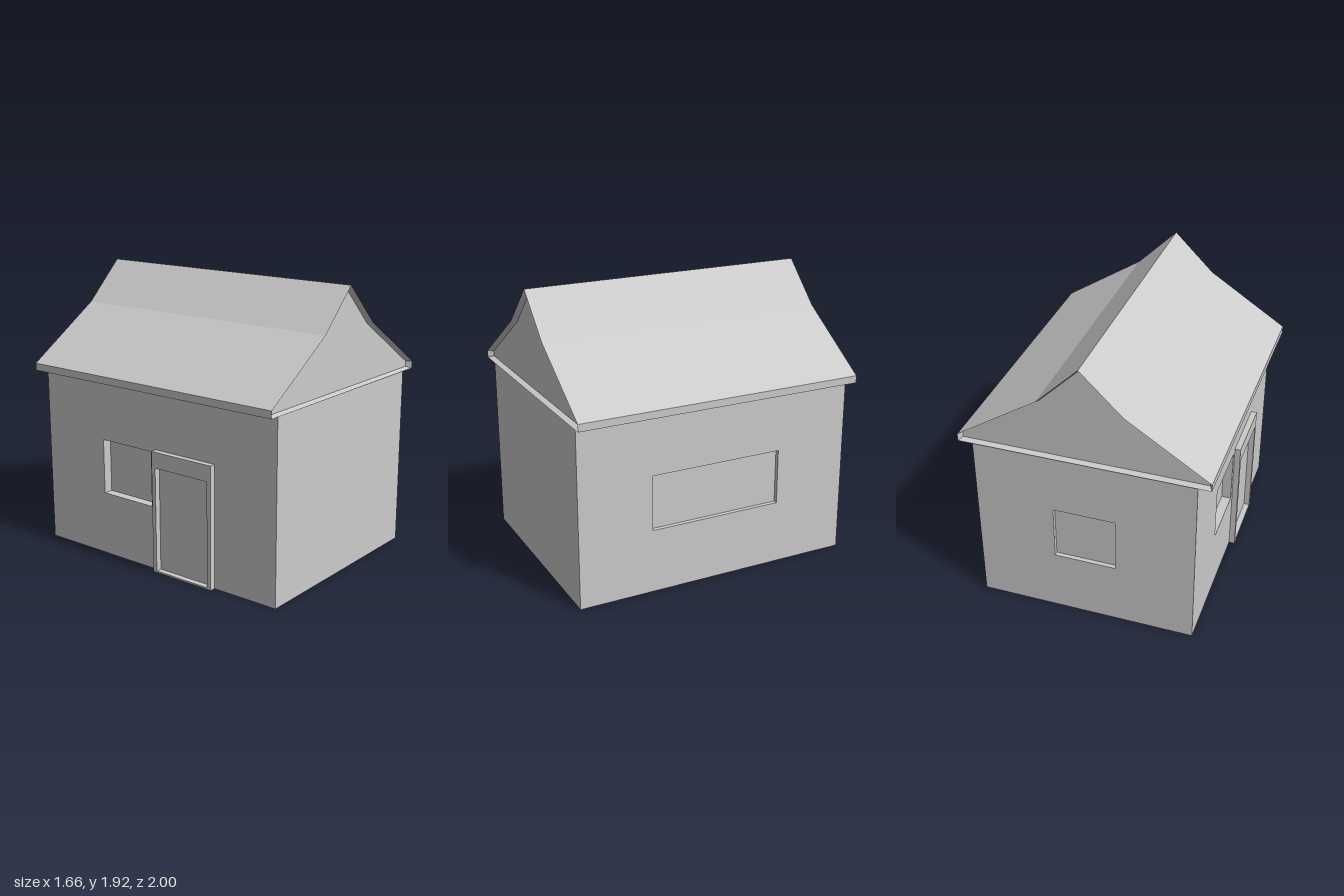
import * as THREE from 'three';

const material = new THREE.MeshStandardMaterial({ color: 0xcccccc, flatShading: true });
const WALL_X = 0.74, WALL_Z = 0.98, EAVE = 1.24, THICK = 0.08;

function addMesh(parent, name, geometry) {
  const mesh = new THREE.Mesh(geometry, material);
  mesh.name = name;
  parent.add(mesh);
  return mesh;
}

function rect(Type, x0, x1, y0, y1) {
  return new Type([[x0, y0], [x1, y0], [x1, y1], [x0, y1]].map(p => new THREE.Vector2(...p)));
}

// Wall slab with its outer face at local z = 0; an optional window is a hole with a recessed pane
function makeWall(name, halfWidth, distance, angle, win) {
  const wall = new THREE.Group();
  wall.name = name;
  const shape = rect(THREE.Shape, -halfWidth, halfWidth, 0, EAVE);
  if (win) {
    const { x0, x1, y0 = 0.44, y1 = 0.82, recess } = win;
    shape.holes.push(rect(THREE.Path, x0, x1, y0, y1));
    const pane = new THREE.BoxGeometry(x1 - x0, y1 - y0, 0.01);
    addMesh(wall, 'windowPane', pane).position.set((x0 + x1) / 2, (y0 + y1) / 2, -recess - 0.005);
  }
  const slab = new THREE.ExtrudeGeometry(shape, { depth: THICK, bevelEnabled: false });
  addMesh(wall, 'wallSlab', slab.translate(0, 0, -THICK));
  wall.rotation.y = angle;
  wall.position.set(Math.sin(angle) * distance, 0, Math.cos(angle) * distance);
  return wall;
}

// Roof skin lofted through four rings: the outer profile, turned in at both ends to sunken gables
function makeRoof() {
  const roof = new THREE.Group();
  roof.name = 'roof';
  const outer = [[-0.83, 1.24], [0.83, 1.24], [0.83, 1.29], [0.28, 1.645], [0, 1.92], [-0.28, 1.645], [-0.83, 1.29]];
  const inner = [[-0.81, 1.25], [0.81, 1.25], [0.81, 1.287], [0.273, 1.633], [0, 1.903], [-0.273, 1.633], [-0.81, 1.287]];
  const gableZ = 0.96;
  const rings = [[inner, gableZ], [outer, 1], [outer, -1], [inner, -gableZ]]
    .map(([profile, z]) => profile.map(([x, y]) => [x, y, z]));
  const positions = [];
  for (let r = 0; r < rings.length - 1; r++) {
    const a = rings[r], b = rings[r + 1];
    for (let i = 0; i < a.length; i++) {
      const j = (i + 1) % a.length;
      positions.push(...a[i], ...b[i], ...b[j], ...a[i], ...b[j], ...a[j]);
    }
  }
  const skin = new THREE.BufferGeometry();
  skin.setAttribute('position', new THREE.Float32BufferAttribute(positions, 3));
  skin.computeVertexNormals();
  addMesh(roof, 'roofSkin', skin);

  const gableShape = new THREE.Shape(inner.map(p => new THREE.Vector2(...p)));
  for (const [name, angle] of [['frontGable', 0], ['backGable', Math.PI]]) {
    const gable = new THREE.ShapeGeometry(gableShape).translate(0, 0, gableZ).rotateY(angle);
    addMesh(roof, name, gable);
  }
  return roof;
}

export function createModel() {
  const house = new THREE.Group();
  house.name = 'house';
  const sideHalf = WALL_Z - THICK;

  // Walls: plain front, a window in each of the others
  house.add(makeWall('frontWall', WALL_X, WALL_Z, 0));
  house.add(makeWall('backWall', WALL_X, WALL_Z, Math.PI, { x0: -0.21, x1: 0.21, recess: 0.03 }));
  house.add(makeWall('leftWall', sideHalf, WALL_X, Math.PI / 2, { x0: -0.465, x1: 0.465, recess: 0.03 }));
  const rightWall = makeWall('rightWall', sideHalf, WALL_X, -Math.PI / 2, { x0: -0.46, x1: -0.03, recess: 0.065 });
  house.add(rightWall);

  // Door surround standing out from the right wall
  const frame = rect(THREE.Shape, 0.01, 0.5, 0, 0.84);
  frame.holes.push(rect(THREE.Path, 0.04, 0.47, 0.012, 0.73));
  addMesh(rightWall, 'doorFrame', new THREE.ExtrudeGeometry(frame, { depth: 0.04, bevelEnabled: false }));

  // Floor between the walls
  const floor = new THREE.BoxGeometry(2 * (WALL_X - THICK), 0.02, 2 * sideHalf);
  addMesh(house, 'floor', floor).position.y = 0.01;

  house.add(makeRoof());
  return house;
}
